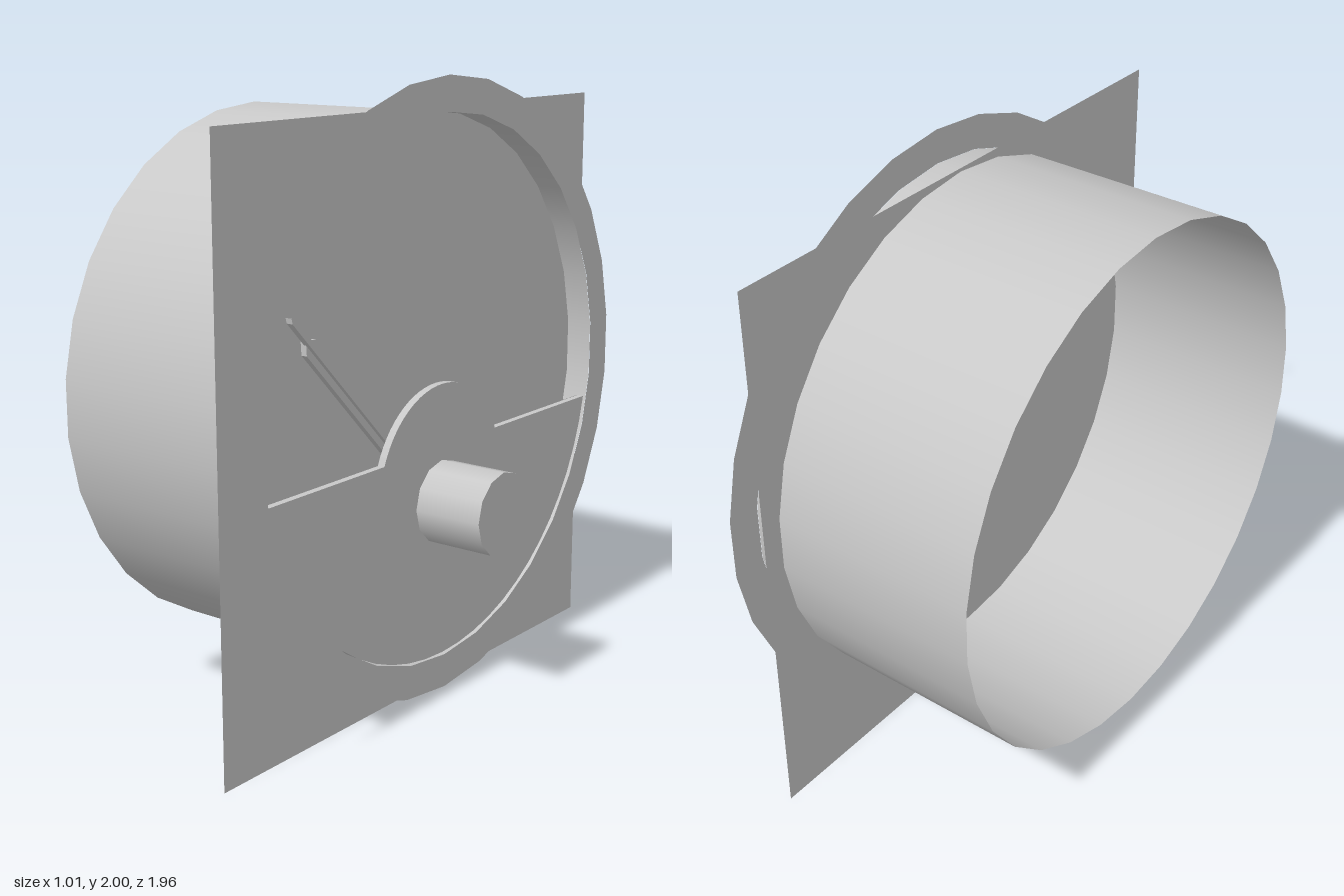
import * as THREE from 'three';

// Gauge facing +x. Parts are drawn in a local plane (u, v) with depth w,
// then the whole dial is turned so that w points along +x.
const CENTRE_Y = 1.014;
const SIDES = 30;

export function createModel() {
  const model = new THREE.Group();
  model.name = 'gauge';
  const dial = new THREE.Group();
  dial.name = 'dial';
  dial.rotation.y = Math.PI / 2;
  model.add(dial);

  const grey = new THREE.MeshStandardMaterial({ color: 0xc8c8c8, side: THREE.DoubleSide });
  grey.name = 'grey';

  function add(name, geometry, u, v, w, parent = dial) {
    const mesh = new THREE.Mesh(geometry, grey);
    mesh.name = name;
    mesh.position.set(u, v, w);
    parent.add(mesh);
    return mesh;
  }
  const slab = (shape, depth, curveSegments = 12) =>
    new THREE.ExtrudeGeometry(shape, { depth, bevelEnabled: false, curveSegments });

  // Open tubular housing
  const housing = new THREE.CylinderGeometry(0.875, 0.875, 0.79, SIDES, 1, true);
  housing.rotateX(Math.PI / 2);
  add('housing', housing, 0, CENTRE_Y, -0.115);

  // Square sheet that closes the housing and carries the dial
  add('backPlate', new THREE.PlaneGeometry(1.9, 1.9), -0.01, 0.95, 0.19);

  // Flat bezel ring
  add('bezel', new THREE.RingGeometry(0.875, 0.986, SIDES, 1, Math.PI / 2), 0, CENTRE_Y, 0.281);

  // Lower cover with a round hump over the needle pivot
  const cover = new THREE.Shape();
  const hump = 0.372;
  cover.moveTo(-0.855, 0.84);
  cover.lineTo(-0.31, 0.84);
  cover.absarc(-0.01, 0.723, 0.322, Math.PI - hump, hump, true);
  cover.lineTo(0.855, 0.84);
  cover.absarc(0, CENTRE_Y, 0.87, -0.2, -Math.PI + 0.2, true);
  add('lowerCover', slab(cover, 0.025, 13), 0, 0, 0.245);

  // Adjusting knob
  const knob = new THREE.CylinderGeometry(0.135, 0.135, 0.315, 12);
  knob.rotateX(Math.PI / 2);
  add('knob', knob, -0.01, 0.662, 0.3475);

  // Needle: wide body with a thin spine running to the tip
  const needle = new THREE.Group();
  needle.name = 'needle';
  needle.position.set(-0.01, 0.662, 0);
  needle.rotation.z = Math.PI / 4;
  dial.add(needle);
  function pointedBar(halfWidth, start, shoulder, tip) {
    return new THREE.Shape([
      new THREE.Vector2(-halfWidth, start),
      new THREE.Vector2(halfWidth, start),
      new THREE.Vector2(halfWidth, shoulder),
      new THREE.Vector2(0, tip),
      new THREE.Vector2(-halfWidth, shoulder),
    ]);
  }
  add('needleBody', slab(pointedBar(0.03, 0.2, 0.835, 0.87), 0.02), 0, 0, 0.21, needle);
  add('needleSpine', slab(pointedBar(0.009, 0.2, 0.965, 0.98), 0.022), 0, 0, 0.222, needle);

  return model;
}
